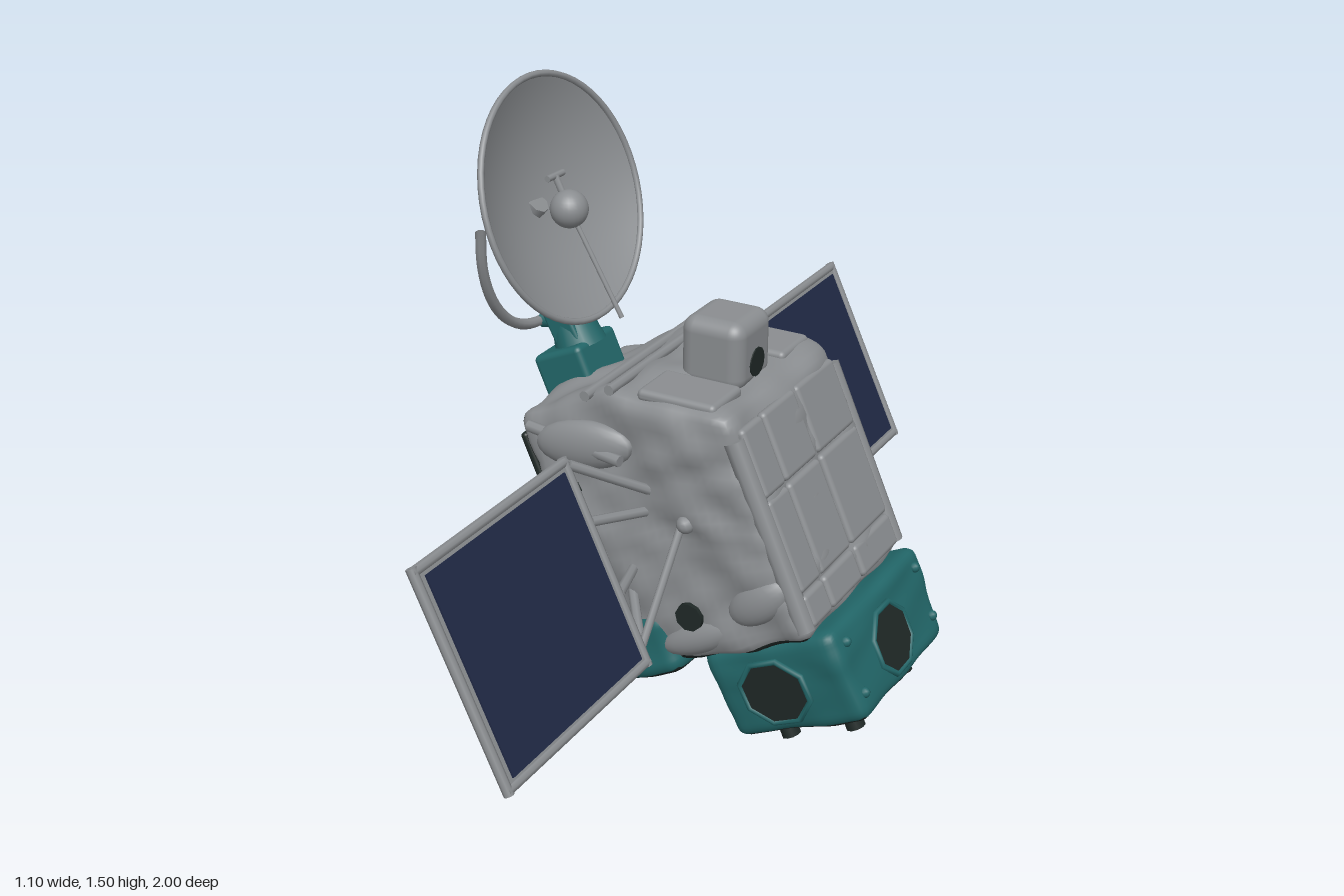
import * as THREE from 'three';
import { mergeVertices } from 'three/addons/utils/BufferGeometryUtils.js';
import { RoundedBoxGeometry } from 'three/addons/geometries/RoundedBoxGeometry.js';

const mat = (name, color, side = THREE.FrontSide) => {
  const m = new THREE.MeshStandardMaterial({ color, side });
  m.name = name;
  return m;
};
const V = (x, y, z) => new THREE.Vector3(x, y, z);

export function createModel() {
  const grey = mat('foil grey', 0x8a8d90, THREE.DoubleSide);
  const teal = mat('teal', 0x226668);
  const navy = mat('solar navy', 0x202945);
  const dark = mat('dark shell', 0x1f2826, THREE.DoubleSide);

  const root = new THREE.Group();
  root.name = 'satellite';
  // The whole bus leans and is turned about the vertical
  const bus = new THREE.Group();
  bus.name = 'bus';
  bus.position.y = 0.53;
  bus.rotation.set(0, -0.262, 0.4, 'YXZ');
  root.add(bus);

  const add = (parent, name, geo, material, x = 0, y = 0, z = 0) => {
    const m = new THREE.Mesh(geo, material);
    m.name = name;
    m.position.set(x, y, z);
    parent.add(m);
    return m;
  };
  const beam = (parent, name, p, q, r, material) => {
    const m = add(parent, name, new THREE.CylinderGeometry(r, r, p.distanceTo(q), 8), material);
    m.position.copy(p).lerp(q, 0.5);
    m.quaternion.setFromUnitVectors(V(0, 1, 0), q.clone().sub(p).normalize());
    return m;
  };

  // Soft wrapped box between two corners: rounded, reshaped by a rule and crumpled
  const wrapped = (lo, hi, r, crumple, rule = (p) => p) => {
    const size = hi.clone().sub(lo), mid = lo.clone().add(hi).multiplyScalar(0.5);
    const g = new THREE.BoxGeometry(size.x, size.y, size.z, 26, 26, 26);
    const pos = g.attributes.position, inner = size.clone().multiplyScalar(0.5).subScalar(r);
    for (let i = 0; i < pos.count; i++) {
      const p = V().fromBufferAttribute(pos, i);
      const q = p.clone().clamp(inner.clone().negate(), inner);
      const n = p.clone().sub(q).normalize();
      p.copy(q).addScaledVector(n, r).add(mid);
      const w = Math.sin(p.x * 23 + 3 * Math.sin(p.y * 17)) * Math.sin(p.y * 19 + p.z * 13)
        + 0.6 * Math.sin(p.z * 31 + 2 * Math.sin(p.x * 21 + p.y * 9));
      p.addScaledVector(n, w * crumple);
      rule(p);
      pos.setXYZ(i, p.x, p.y, p.z);
    }
    g.deleteAttribute('normal');
    g.deleteAttribute('uv');
    const out = mergeVertices(g, 1e-5);
    out.computeVertexNormals();
    return out;
  };

  // Main body: sloping roof, upper rear corners drawn in, dark rear and underside
  const clamp = THREE.MathUtils.clamp;
  const roofAt = (x) => 0.355 - 0.12 * clamp((x - 0.03) / 0.27, 0, 1);
  add(bus, 'body', wrapped(V(-0.28, -0.32, -0.272), V(0.3, 0.36, 0.275), 0.045, 0.009, (p) => {
    p.z *= 1 - 0.14 * clamp((p.y - 0.08) / 0.25, 0, 1) * clamp((0.1 - p.x) / 0.3, 0, 1);
    p.y = -0.32 + (p.y + 0.32) * (roofAt(p.x) + 0.32) / 0.68;
  }), [grey, dark, grey, dark, grey, grey]);
  add(bus, 'rearPlate', new RoundedBoxGeometry(0.02, 0.58, 0.46, 3, 0.009), dark, -0.284, 0.01, 0);

  // Blanket panels on the outer face, wide ones beside a narrow strip
  for (const [y, h] of [[0.115, 0.17], [-0.09, 0.23], [-0.25, 0.08]])
    for (const [z, w] of [[-0.13, 0.2], [0.06, 0.16], [0.195, 0.1]])
      add(bus, 'blanketPanel', new RoundedBoxGeometry(0.026, h, w, 3, 0.012), grey, 0.299, y, z);

  // Roof ledges and slanted roof panels
  for (const x of [0.02, -0.05])
    beam(bus, 'roofRidge', V(x, 0.36, -0.25), V(x, 0.36, 0.26), 0.013, grey);
  for (const z of [-0.17, 0.18]) {
    const p = add(bus, 'roofPanel', new RoundedBoxGeometry(0.2, 0.03, 0.14, 3, 0.013), grey, 0.17, 0.292, z);
    p.rotation.z = -0.42;
  }

  // Lumps, pods, vents and small rods on both flanks
  for (const s of [1, -1]) {
    const lumps = [[-0.1, 0.25, 0.13, 0.06, -0.25], [-0.19, -0.02, 0.06, 0.12, 0], [0.2, -0.2, 0.09, 0.05, 0.3],
      [0.02, -0.26, 0.12, 0.04, 0.1]];
    for (const [x, y, rx, ry, turn] of lumps) {
      const m = add(bus, 'foilLump', new THREE.SphereGeometry(1, 20, 12), grey, x, y, s * 0.26);
      m.scale.set(rx, ry, 0.035);
      m.rotation.z = turn;
    }
    for (const [x, y, r] of [[0.02, -0.2, 0.035], [-0.18, 0.15, 0.03]]) {
      const vent = add(bus, 'vent', new THREE.CylinderGeometry(r, r, 0.05, 9), dark, x, y, s * 0.265);
      vent.rotation.x = Math.PI / 2;
    }
    add(bus, 'stud', new THREE.SphereGeometry(0.022, 12, 8), grey, 0.1, 0.02, s * 0.278);
    beam(bus, 'flankRod', V(-0.24, 0.32, s * 0.25), V(0, 0.2, s * 0.29), 0.014, grey);
    beam(bus, 'edgeRoll', V(0.285, -0.29, s * 0.25), V(0.285, 0.18, s * 0.25), 0.025, grey);
    add(bus, 'footBracket', new RoundedBoxGeometry(0.06, 0.16, 0.03, 2, 0.01), teal, -0.235, -0.12, s * 0.272);
  }

  // Teal foot under the rear
  add(bus, 'rearFoot', wrapped(V(-0.28, -0.345, -0.285), V(-0.06, -0.18, 0.285), 0.04, 0.004),
    [teal, dark, teal, dark, teal, teal]);

  // Lower instrument block, narrowing a little downward, dark below
  add(bus, 'instrumentBlock', wrapped(V(-0.015, -0.545, -0.25), V(0.345, -0.305, 0.252), 0.03, 0.003, (p) => {
    p.z *= 1 - 0.08 * clamp((-0.4 - p.y) / 0.145, 0, 1);
  }), [teal, teal, teal, dark, teal, teal]);
  // Dark eight-sided windows with raised rims
  const porthole = (x, y, z, yaw, tilt) => {
    const w = new THREE.Group();
    w.name = 'window';
    w.position.set(x, y, z);
    w.rotation.set(tilt, yaw, 0);
    w.scale.set(1.05, 0.98, 1);
    const pane = add(w, 'pane', new THREE.CylinderGeometry(0.084, 0.084, 0.009, 8), dark);
    pane.rotation.set(Math.PI / 2, Math.PI / 8, 0);
    add(w, 'rim', new THREE.TorusGeometry(0.086, 0.008, 8, 8), teal).rotation.z = Math.PI / 8;
    bus.add(w);
  };
  porthole(0.145, -0.43, 0.249, 0, 0.08);
  porthole(0.145, -0.43, -0.247, Math.PI, -0.08);
  porthole(0.347, -0.435, 0.01, Math.PI / 2, 0);
  // Feet and bolts of the block
  for (const x of [0.07, 0.25]) for (const z of [-0.14, 0.14])
    add(bus, 'foot', new THREE.CylinderGeometry(0.024, 0.024, 0.06, 10), dark, x, -0.56, z);
  for (const z of [-0.2, 0.2]) for (const y of [-0.35, -0.48])
    add(bus, 'bolt', new THREE.SphereGeometry(0.013, 10, 8), teal, 0.345, y, z);

  // Roof sensor housing
  const sensor = new THREE.Group();
  sensor.name = 'roofSensor';
  sensor.position.set(0.2, 0.345, 0.015);
  sensor.rotation.z = -0.42;
  add(sensor, 'housing', new RoundedBoxGeometry(0.16, 0.17, 0.17, 5, 0.035), grey);
  const lens = add(sensor, 'lens', new THREE.CylinderGeometry(0.035, 0.035, 0.008, 14), dark, 0.079, -0.025, 0);
  lens.rotation.z = Math.PI / 2;
  bus.add(sensor);

  // Solar wings with frames and struts
  for (const s of [1, -1]) {
    const wing = new THREE.Group();
    wing.name = 'solarWing';
    wing.position.set(-0.038, 0.014, s > 0 ? 0.717 : -0.695);
    wing.rotation.z = 0.02;
    add(wing, 'backing', new THREE.BoxGeometry(0.012, 0.5, 0.58), grey);
    for (const f of [1, -1]) {
      add(wing, 'cells', new THREE.BoxGeometry(0.006, 0.465, 0.535), navy, f * 0.008, 0, 0);
      beam(wing, 'frameLong', V(0, f * 0.25, -0.295), V(0, f * 0.25, 0.295), 0.012, grey);
      beam(wing, 'frameShort', V(0, -0.26, f * 0.29), V(0, 0.26, f * 0.29), 0.012, grey);
    }
    bus.add(wing);
    for (const [y0, y1] of [[0.1, 0.24], [0.06, 0.1], [-0.06, -0.08], [-0.1, -0.22]])
      beam(bus, 'wingStrut', V(-0.045 + y0 * 0.8, y0, s * 0.25), V(-0.038, y1 + 0.014, s * 0.42), 0.012, grey);
    beam(bus, 'wingBrace', V(0.08, 0.02, s * 0.26), V(-0.038, -0.2, s * 0.41), 0.01, grey);
  }

  // Dish mount: base, twin-sided arm and dark core
  add(bus, 'mountBase', new RoundedBoxGeometry(0.14, 0.11, 0.17, 3, 0.015), teal, -0.22, 0.385, 0);
  add(bus, 'mountCollar', new THREE.CylinderGeometry(0.05, 0.065, 0.07, 16), teal, -0.2, 0.46, 0);
  const arm = new THREE.Group();
  arm.name = 'dishArm';
  const armLow = V(-0.34, 0.86, -0.11), armTop = V(-0.5, 1.17, -0.12);
  arm.position.copy(armLow).lerp(armTop, 0.5);
  arm.rotation.set(0, -0.262, 0.476, 'YXZ');
  for (const s of [1, -1])
    add(arm, 'armSide', new RoundedBoxGeometry(0.07, 0.35, 0.022, 2, 0.008), teal, 0, 0, s * 0.042);
  add(arm, 'armCore', new THREE.BoxGeometry(0.045, 0.32, 0.065), dark);
  add(arm, 'armCap', new RoundedBoxGeometry(0.074, 0.05, 0.106, 2, 0.01), teal, 0, 0.155, 0);
  root.add(arm);

  // Dish, aimed outward, with a dark patch low on its back
  const hub = V(-0.368, 1.215, -0.085), aim = V(0.9, 0.31, 0.3).normalize();
  const dish = new THREE.Group();
  dish.name = 'dish';
  dish.position.copy(hub);
  dish.quaternion.setFromUnitVectors(V(0, 1, 0), aim);
  const R = 0.292, profile = [];
  for (let i = 0; i <= 14; i++) profile.push(new THREE.Vector2(R * i / 14, 0.085 * ((i / 14) ** 2 - 1)));
  add(dish, 'reflector', new THREE.LatheGeometry(profile, 56), grey);
  add(dish, 'backPatch', new THREE.LatheGeometry(profile.slice(4), 24, 0.25, 2), dark, 0, -0.005, 0);
  add(dish, 'rim', new THREE.TorusGeometry(R, 0.008, 8, 56), grey).rotation.x = Math.PI / 2;
  root.add(dish);
  beam(root, 'dishPivot', hub.clone().addScaledVector(aim, -0.08), V(-0.48, 1.14, -0.12), 0.03, grey);

  // Feed ball, its long rod and small tip
  const ball = V(-0.355, 1.19, -0.08), tip = V(-0.39, 1.265, -0.09);
  add(root, 'feedBall', new THREE.SphereGeometry(0.046, 24, 16), grey, ball.x, ball.y, ball.z);
  beam(root, 'feedRod', ball, V(-0.22, 0.945, -0.035), 0.006, grey);
  beam(root, 'feedTip', ball, tip, 0.009, grey);
  beam(root, 'feedCross', tip.clone().add(V(0.01, 0, -0.03)), tip.clone().add(V(-0.01, 0, 0.03)), 0.008, grey);

  // Half-round yoke below and behind the dish
  const across = V(-0.31, 0, 0.95), down = V(-0.03, -0.31, -0.02), path = [];
  const yokeHub = hub.clone().addScaledVector(aim, -0.05);
  for (let i = 0; i <= 12; i++) {
    const t = Math.PI * i / 12;
    path.push(yokeHub.clone().addScaledVector(across, 0.265 * Math.cos(t)).addScaledVector(down, Math.sin(t)));
  }
  add(root, 'dishYoke', new THREE.TubeGeometry(new THREE.CatmullRomCurve3(path), 40, 0.013, 8), grey);
  beam(root, 'yokeLink', path[6], V(-0.37, 0.9, -0.11), 0.02, teal);

  return root;
}
